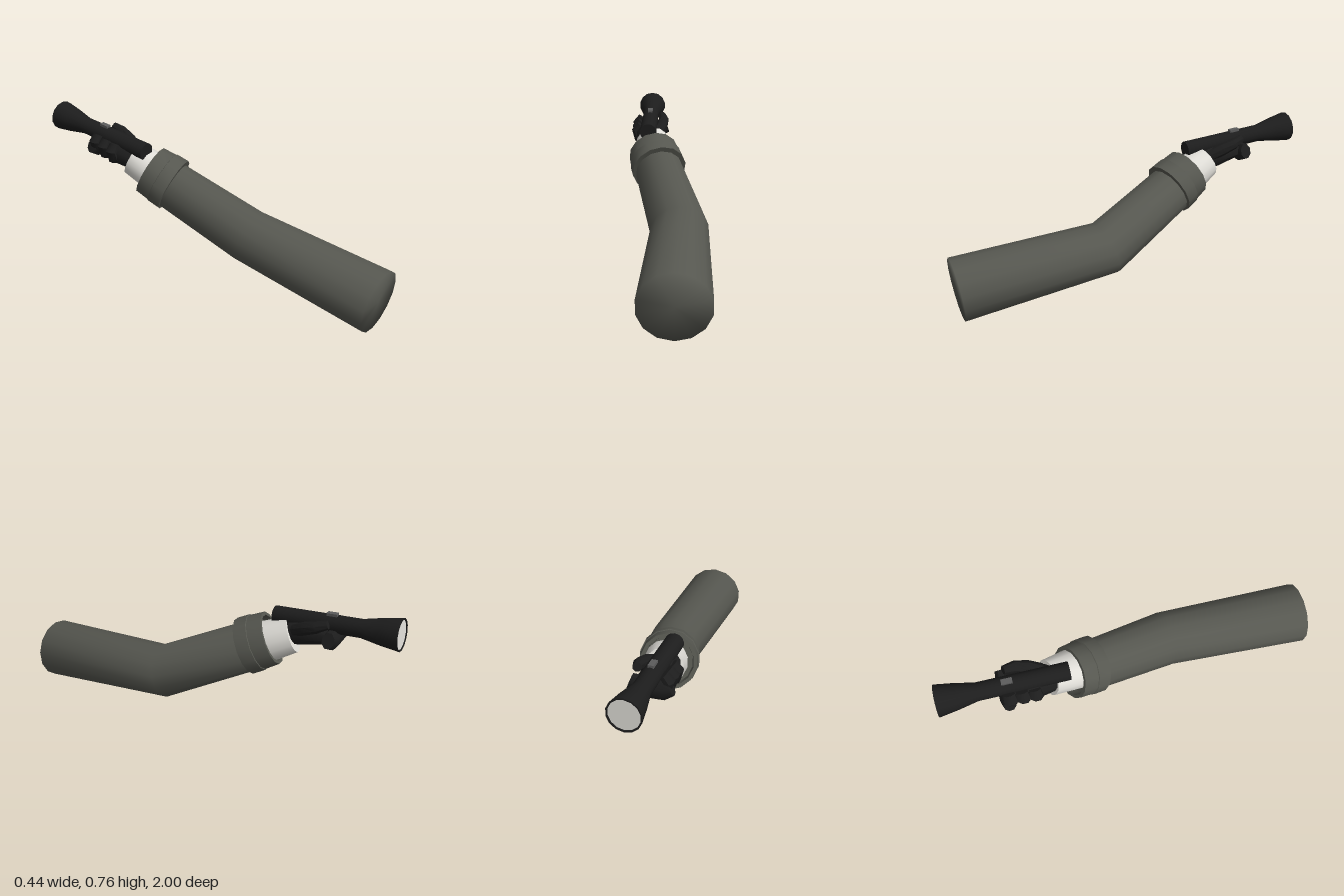
import * as THREE from 'three';
import { toCreasedNormals } from 'three/addons/utils/BufferGeometryUtils.js';

const material = (name, color, side = THREE.FrontSide) => {
  const m = new THREE.MeshStandardMaterial({ color, side });
  m.name = name;
  return m;
};

// Skin elliptical rings [x, y, z, rx, ry] along a path, closed at both ends.
// dir fixes the ring facing (one vector, or one per ring); otherwise it follows the path.
function loft(rings, { sides = 14, dir, up = [0, 1, 0], crease } = {}) {
  const pos = [], idx = [];
  const centres = rings.map(r => new THREE.Vector3(r[0], r[1], r[2]));
  const upV = new THREE.Vector3(...up);
  rings.forEach(([, , , rx, ry = rx], i) => {
    const fixed = dir && (Array.isArray(dir[0]) ? dir[i] : dir);
    const n = fixed ? new THREE.Vector3(...fixed)
      : centres[Math.min(i + 1, rings.length - 1)].clone().sub(centres[Math.max(i - 1, 0)]);
    n.normalize();
    const u = upV.clone().cross(n).normalize(), v = n.clone().cross(u);
    for (let j = 0; j < sides; j++) {
      const a = (j + 0.5) / sides * Math.PI * 2;
      const p = centres[i].clone().addScaledVector(u, Math.cos(a) * rx).addScaledVector(v, Math.sin(a) * ry);
      pos.push(p.x, p.y, p.z);
    }
  });
  const last = (rings.length - 1) * sides, c0 = rings.length * sides;
  pos.push(...centres[0].toArray(), ...centres[rings.length - 1].toArray());
  for (let j = 0; j < sides; j++) {
    const k = (j + 1) % sides;
    for (let o = 0; o < last; o += sides) {
      idx.push(o + j, o + k, o + sides + k, o + j, o + sides + k, o + sides + j);
    }
    idx.push(c0, k, j, c0 + 1, last + j, last + k);
  }
  const g = new THREE.BufferGeometry();
  g.setAttribute('position', new THREE.Float32BufferAttribute(pos, 3));
  g.setIndex(idx);
  g.computeVertexNormals();
  return crease ? toCreasedNormals(g, crease) : g;
}

// Rings [distance, radius] along a straight axis
const along = (origin, axis, steps) => {
  const a = new THREE.Vector3(...axis).normalize();
  return steps.map(([d, r]) => [origin[0] + a.x * d, origin[1] + a.y * d, origin[2] + a.z * d, r]);
};

export function createModel() {
  const model = new THREE.Group();
  const sleeveMat = material('sleeve olive grey', 0x565750);
  const skinMat = material('wrist off white', 0xe0ded8);
  const gloveMat = material('black', 0x1d1d1d);
  const buttonMat = material('button grey', 0x5c5c5c);
  const add = (name, geometry, mat, parent = model) => {
    const mesh = new THREE.Mesh(geometry, mat);
    mesh.name = name;
    parent.add(mesh);
    return mesh;
  };

  // Bent sleeve
  const cuffDir = [-0.25, 0.42, -0.87];
  add('sleeve', loft([
    [0.053, 0.163, 0.985, 0.167, 0.161],
    [0.07, 0.234, 0.21, 0.15, 0.143],
    [-0.055, 0.455, -0.25, 0.13, 0.13],
  ], { dir: [[0, 0.09, -1], [-0.1, 0.28, -0.96], cuffDir] }), sleeveMat);

  // Two-band cuff with a hollow end
  add('cuff', loft(along([-0.045, 0.447, -0.215], cuffDir, [
    [0, 0.125], [0, 0.151], [0.07, 0.149], [0.072, 0.145], [0.15, 0.139], [0.15, 0.122], [0.11, 0.118],
  ]), { dir: cuffDir, crease: 0.6 }), sleeveMat);

  // Wrist
  add('wrist', loft([
    [-0.06, 0.49, -0.32, 0.108], [-0.095, 0.553, -0.455, 0.094],
  ], { dir: [-0.25, 0.4, -0.9], crease: 0.7 }), skinMat);

  // Gloved hand: palm, curled fingers on its right, thumb on its left
  const hand = new THREE.Group();
  hand.name = 'glovedHand';
  model.add(hand);
  add('palm', loft([
    [-0.1, 0.565, -0.43, 0.07, 0.068],
    [-0.11, 0.583, -0.52, 0.082, 0.07],
    [-0.112, 0.602, -0.65, 0.08, 0.05],
  ], { sides: 10, crease: 0.8 }), gloveMat, hand);
  for (let i = 0; i < 3; i++) {
    const z = -0.53 - i * 0.062, y = 0.012 * i;
    add('curledFinger', loft([
      [-0.13, 0.545 + y, z, 0.028, 0.034],
      [-0.175, 0.565 + y, z, 0.033, 0.036],
      [-0.188, 0.605 + y, z, 0.029, 0.036],
      [-0.165, 0.638 + y, z, 0.02, 0.03],
    ], { sides: 8, up: [0, 0, 1], crease: 0.8 }), gloveMat, hand);
  }
  add('foreFinger', loft([
    [-0.205, 0.605, -0.665, 0.03, 0.038],
    [-0.17, 0.59, -0.668, 0.041, 0.05],
    [-0.06, 0.588, -0.67, 0.041, 0.052],
    [-0.012, 0.605, -0.672, 0.032, 0.042],
  ], { sides: 8, crease: 0.8 }), gloveMat, hand);
  add('thumb', loft([
    [-0.06, 0.595, -0.48, 0.034],
    [-0.04, 0.628, -0.54, 0.034],
    [-0.03, 0.652, -0.6, 0.03],
    [-0.042, 0.674, -0.655, 0.022],
  ], { sides: 8, crease: 0.8 }), gloveMat, hand);

  // Torch with a flared head
  const torch = new THREE.Group();
  torch.name = 'torch';
  model.add(torch);
  const axis = [0, 0.076, -1], tail = [-0.112, 0.628, -0.345];
  const torchPart = (name, steps, mat) =>
    add(name, loft(along(tail, axis, steps), { dir: axis, crease: 0.6 }), mat, torch);
  torchPart('torchBody', [[0, 0.047], [0.456, 0.046], [0.56, 0.067], [0.651, 0.081], [0.651, 0.074], [0.64, 0.072]], gloveMat);
  torchPart('lens', [[0.638, 0.073], [0.646, 0.073]], skinMat);
  const button = add('torchButton', new THREE.BoxGeometry(0.028, 0.02, 0.055), buttonMat, torch);
  button.position.set(-0.112, 0.698, -0.648);
  button.rotation.x = 0.076;

  return model;
}
